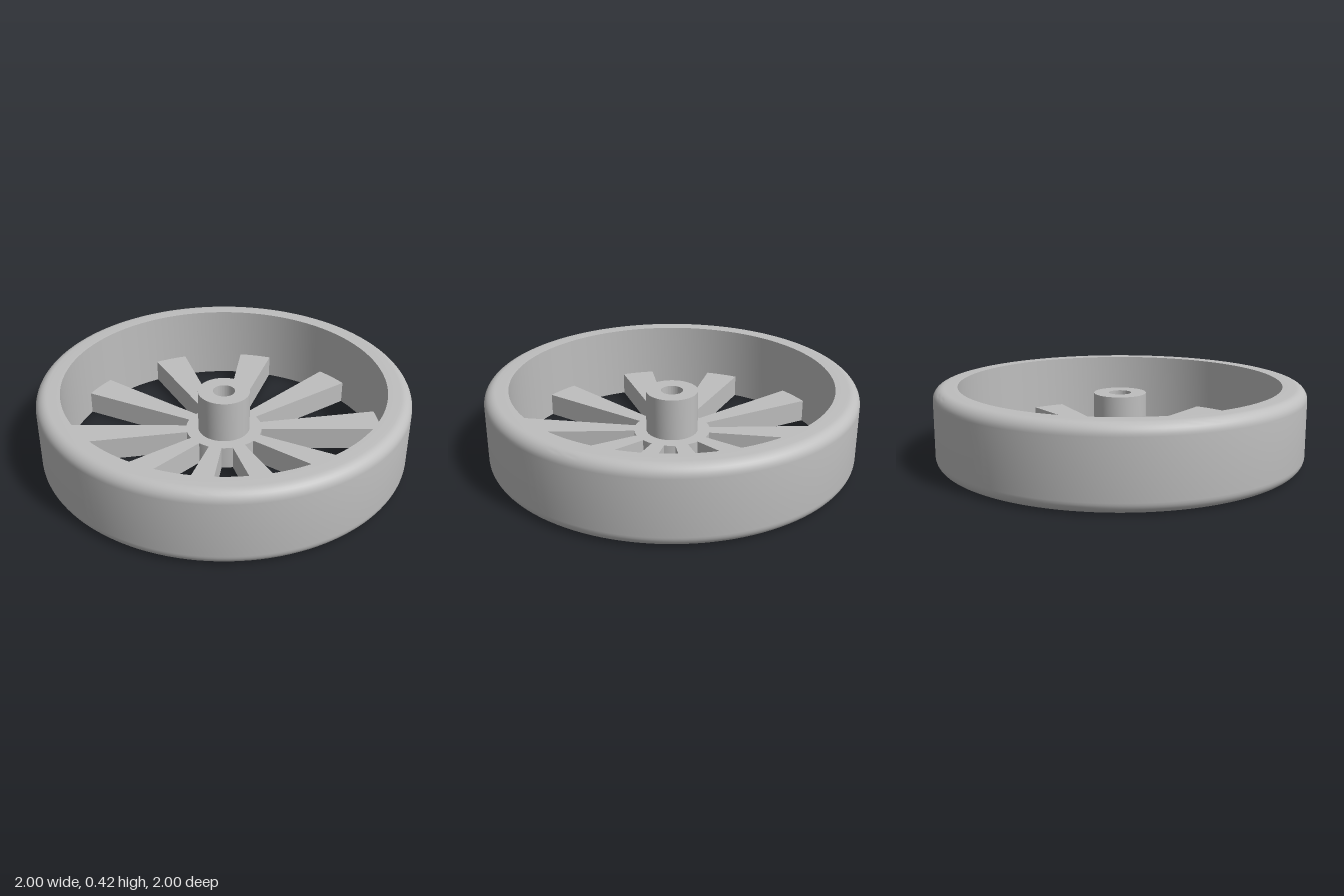
import * as THREE from 'three';
import { toCreasedNormals } from 'three/addons/utils/BufferGeometryUtils.js';

const HEIGHT = 0.42, FILLET = 0.06, RIM_INNER = 0.87;
const HUB_RADIUS = 0.21, SPOKE_HEIGHT = 0.127, SPOKES = 10;

// Turned solid from a closed profile of [radius, y] points
function turned(points, segments) {
  const profile = points.map(([r, y]) => new THREE.Vector2(r, y));
  return toCreasedNormals(new THREE.LatheGeometry(profile, segments), 0.5);
}

// Points of a rounded outer corner of the rim
function fillet(cy, start) {
  return Array.from({ length: 9 }, (_, i) => {
    const a = start + (i / 8) * Math.PI / 2;
    return [1 - FILLET + FILLET * Math.cos(a), cy + FILLET * Math.sin(a)];
  });
}

export function createModel() {
  const wheel = new THREE.Group();
  wheel.name = 'wheel';
  const grey = new THREE.MeshStandardMaterial({ color: 0xbebebe });
  grey.name = 'grey';

  const add = (name, geometry) => {
    const mesh = new THREE.Mesh(geometry, grey);
    mesh.name = name;
    wheel.add(mesh);
    return mesh;
  };

  // Rim: straight inner wall, rounded outer corners
  add('rim', turned([
    [RIM_INNER, 0],
    ...fillet(FILLET, -Math.PI / 2),
    ...fillet(HEIGHT - FILLET, 0),
    [RIM_INNER, HEIGHT],
    [RIM_INNER, 0],
  ], 128));

  // Hub: flat disc with a raised boss and a through bore
  add('hub', turned([
    [0.06, 0], [HUB_RADIUS, 0], [HUB_RADIUS, SPOKE_HEIGHT],
    [0.142, SPOKE_HEIGHT], [0.142, 0.36], [0.06, 0.36], [0.06, 0],
  ], 64));

  // Spokes: tapered bars, widening towards the rim
  const shape = new THREE.Shape([
    new THREE.Vector2(-0.035, 0.205), new THREE.Vector2(0.035, 0.205),
    new THREE.Vector2(0.095, 0.873), new THREE.Vector2(-0.095, 0.873),
  ]);
  const spoke = new THREE.ExtrudeGeometry(shape, { depth: SPOKE_HEIGHT, bevelEnabled: false });
  spoke.rotateX(-Math.PI / 2);
  for (let i = 0; i < SPOKES; i++) {
    add(`spoke${i + 1}`, spoke).rotation.y = (i / SPOKES) * Math.PI * 2;
  }
  return wheel;
}
